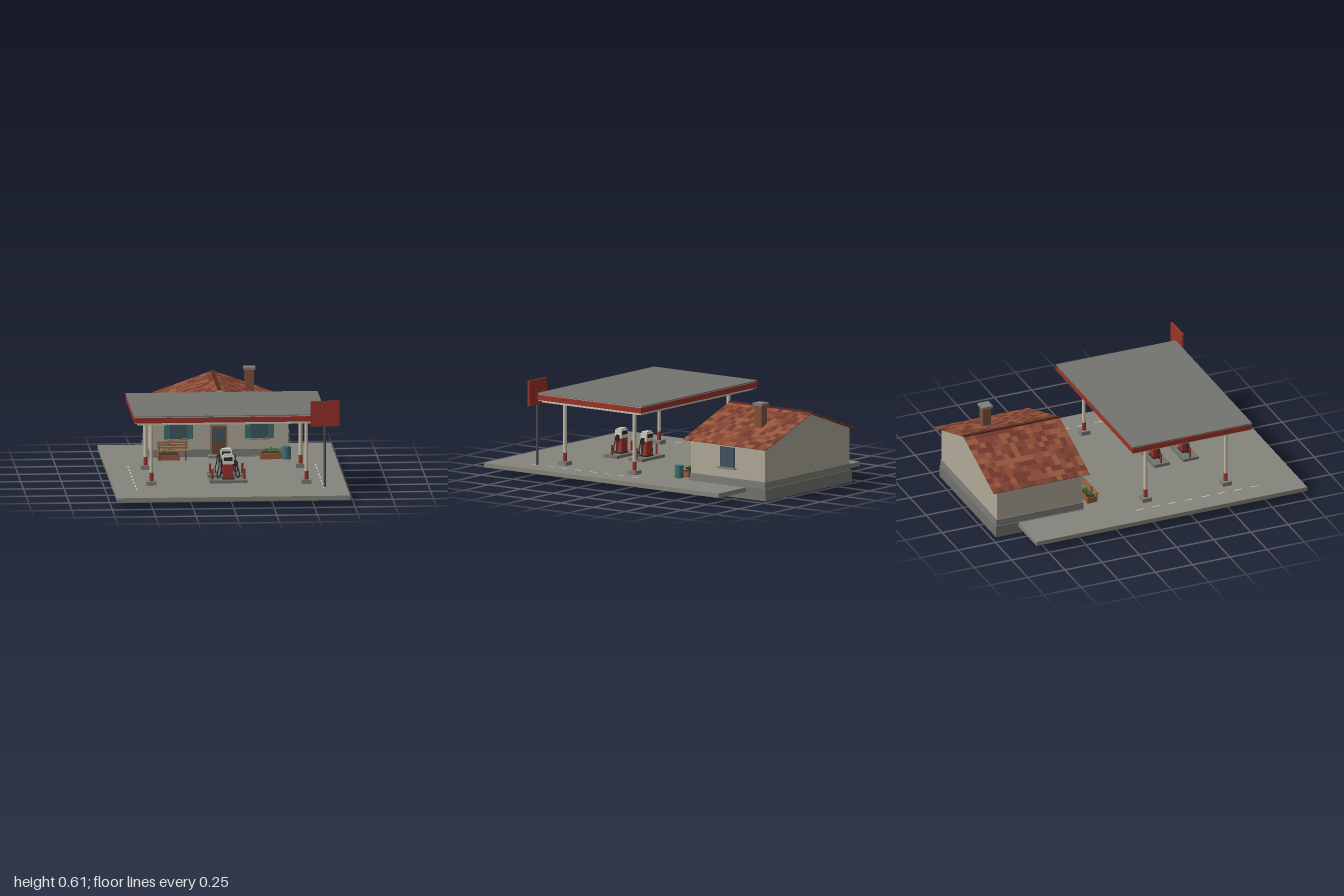
import * as THREE from 'three';
import { mergeGeometries } from 'three/addons/utils/BufferGeometryUtils.js';

const mat = (color, flatShading = false) => new THREE.MeshStandardMaterial({ color, flatShading });
const M = {
  paving: mat(0x85857c), concrete: mat(0x73736d), plinth: mat(0x7d7e78), wall: mat(0xb0a998), cream: mat(0xc4bda8),
  red: mat(0x9a3328), white: mat(0xd0cdc2), dark: mat(0x25282a), glass: mat(0x3d5763), teal: mat(0x3f6f70),
  wood: mat(0x94653f), planter: mat(0x955a36), soil: mat(0x3d2d22), leaf: mat(0x49653a, true),
  brick: mat(0x80503c), ridge: mat(0x54291f), pole: mat(0x4b4e50), door: mat(0x6d4a34), canopy: mat(0x747570),
};

function add(parent, name, geo, material, x = 0, y = 0, z = 0) {
  const m = new THREE.Mesh(geo, material);
  m.name = name;
  m.position.set(x, y, z);
  parent.add(m);
  return m;
}

// Box given by its limits on each axis
function box(parent, name, material, x0, x1, y0, y1, z0, z1) {
  const geo = new THREE.BoxGeometry(x1 - x0, y1 - y0, z1 - z0);
  return add(parent, name, geo, material, (x0 + x1) / 2, (y0 + y1) / 2, (z0 + z1) / 2);
}

// Upright cylinder standing on y0
function post(parent, name, material, x, z, r, y0, y1, sides = 16) {
  return add(parent, name, new THREE.CylinderGeometry(r, r, y1 - y0, sides), material, x, (y0 + y1) / 2, z);
}

function group(parent, name, x = 0, y = 0, z = 0) {
  const g = new THREE.Group();
  g.name = name;
  g.position.set(x, y, z);
  parent.add(g);
  return g;
}

function seeded(seed) {
  return () => (seed = (seed * 16807) % 2147483647) / 2147483647;
}

const GROUND = 0.072;

// Window in its own frame: facing +z, centred on x, bottom at y = 0
function windowUnit(parent, name, shutters) {
  const g = group(parent, name);
  box(g, 'windowFrame', M.pole, -0.052, 0.052, 0, 0.12, 0, 0.006);
  for (const s of [-1, 1]) {
    box(g, 'windowPane', M.glass, s * 0.025 - 0.021, s * 0.025 + 0.021, 0.006, 0.114, 0.004, 0.009);
    if (shutters) box(g, 'shutter', M.teal, s * 0.071 - 0.018, s * 0.071 + 0.018, -0.002, 0.122, 0, 0.012);
  }
  box(g, 'windowSill', M.plinth, -0.062, 0.062, -0.009, 0, 0, 0.022);
  return g;
}

// Two slopes of individually shaded tiles
function roof(parent) {
  const rnd = seeded(41);
  const shades = [0x7d4030, 0x8b4a34, 0x95573c, 0x6f382b];
  const tiles = shades.map(() => []);
  const rows = 12, cols = 18, z0 = -1, z1 = -0.355, width = 0.475, eave = 0.327, top = 0.497;
  const run = Math.hypot(width, top - eave), tilt = Math.atan2(top - eave, width);
  for (const side of [-1, 1]) {
    for (let i = 0; i < rows; i++) for (let j = 0; j < cols; j++) {
      const t = (i + 0.5) / rows;
      const geo = new THREE.BoxGeometry(run / rows, 0.004, (z1 - z0) / cols);
      geo.rotateZ(-side * tilt);
      geo.translate(side * width * t, top + (eave - top) * t, z0 + (z1 - z0) * (j + 0.5) / cols);
      tiles[Math.floor(rnd() * shades.length)].push(geo);
    }
  }
  tiles.forEach((t, i) => add(parent, 'roofTiles', mergeGeometries(t), mat(shades[i])));
  box(parent, 'ridgeCap', M.ridge, -0.01, 0.01, 0.493, 0.504, z0, z1);
}

function shop(parent) {
  const g = group(parent, 'shop');
  box(g, 'foundation', M.concrete, -0.44, 0.44, 0, 0.075, -0.97, -0.378);
  box(g, 'plinth', M.plinth, -0.435, 0.435, 0.075, 0.117, -0.964, -0.381);
  // Walls with both gables as one extruded outline
  const s = new THREE.Shape();
  s.moveTo(-0.43, 0.1);
  s.lineTo(0.43, 0.1);
  s.lineTo(0.43, 0.338);
  s.lineTo(0, 0.491);
  s.lineTo(-0.43, 0.338);
  add(g, 'walls', new THREE.ExtrudeGeometry(s, { depth: 0.575, bevelEnabled: false }), M.wall, 0, 0, -0.96);
  roof(g);
  box(g, 'chimney', M.brick, 0.186, 0.24, 0.38, 0.55, -0.788, -0.732);
  box(g, 'chimneyCap', M.plinth, 0.176, 0.25, 0.55, 0.565, -0.797, -0.723);
  // Front openings and sign board
  for (const x of [-0.25, 0.25]) windowUnit(g, 'frontWindow', true).position.set(x, 0.187, -0.386);
  const side = windowUnit(g, 'sideWindow', false);
  side.position.set(0.429, 0.182, -0.67);
  side.rotation.y = Math.PI / 2;
  side.scale.set(1.1, 1.05, 1);
  box(g, 'doorFrame', M.plinth, -0.054, 0.054, GROUND, 0.275, -0.386, -0.376);
  box(g, 'door', M.door, -0.042, 0.042, GROUND, 0.262, -0.38, -0.373);
  box(g, 'doorGlass', M.glass, -0.028, 0.028, 0.165, 0.248, -0.376, -0.371);
  box(g, 'doorStep', M.plinth, -0.068, 0.068, GROUND, 0.088, -0.38, -0.325);
  box(g, 'signBoard', M.red, -0.27, 0.265, 0.304, 0.348, -0.386, -0.368);
}

function canopy(parent) {
  const g = group(parent, 'canopy');
  box(g, 'canopyTop', M.canopy, -0.595, 0.592, 0.518, 0.525, -0.12, 0.683);
  box(g, 'upperTrim', M.white, -0.587, 0.584, 0.513, 0.518, -0.113, 0.676);
  box(g, 'fascia', M.red, -0.594, 0.591, 0.481, 0.514, -0.119, 0.682);
  box(g, 'lowerTrim', M.white, -0.59, 0.587, 0.476, 0.481, -0.115, 0.678);
  box(g, 'ceiling', M.cream, -0.573, 0.57, 0.465, 0.476, -0.1, 0.665);
  for (const x of [-0.25, 0.25]) box(g, 'ceilingLight', M.white, x - 0.057, x + 0.057, 0.456, 0.465, 0.272, 0.298);
  for (const x of [-0.48, 0.478]) for (const z of [0.017, 0.555]) {
    box(g, 'columnBase', M.plinth, x - 0.03, x + 0.03, GROUND, 0.097, z - 0.03, z + 0.03);
    post(g, 'columnFoot', M.red, x, z, 0.0125, 0.097, 0.15);
    post(g, 'column', M.cream, x, z, 0.0115, 0.15, 0.466);
  }
}

function pump(parent, z) {
  const g = group(parent, 'pumpIsland', 0, GROUND, z);
  box(g, 'island', M.concrete, -0.116, 0.116, 0, 0.018, -0.052, 0.052);
  box(g, 'pumpBase', M.dark, -0.036, 0.036, 0.018, 0.026, -0.025, 0.025);
  box(g, 'pumpBody', M.red, -0.031, 0.031, 0.026, 0.114, -0.022, 0.022);
  box(g, 'pumpHead', M.white, -0.035, 0.035, 0.114, 0.164, -0.024, 0.024);
  box(g, 'pumpCap', M.white, -0.027, 0.027, 0.164, 0.174, -0.02, 0.02);
  for (const s of [-1, 1]) {
    box(g, 'display', M.dark, -0.026, 0.026, 0.136, 0.158, s * 0.0245 - 0.0015, s * 0.0245 + 0.0015);
    box(g, 'nozzle', M.dark, s * 0.041 - 0.006, s * 0.041 + 0.006, 0.095, 0.135, -0.008, 0.01);
    // Hose hanging from the head and looping back to the nozzle
    const path = new THREE.CatmullRomCurve3([
      [0.034, 0.128, 0], [0.052, 0.132, 0.003], [0.059, 0.09, 0.008], [0.069, 0.045, 0.01],
      [0.062, 0.024, 0.008], [0.049, 0.04, 0.004], [0.042, 0.1, 0],
    ].map(([x, y, w]) => new THREE.Vector3(s * x, y, w)));
    add(g, 'hose', new THREE.TubeGeometry(path, 28, 0.0035, 8), M.dark);
    post(g, 'bollard', M.red, s * 0.099, 0, 0.007, 0.018, 0.08);
  }
}

// Wooden trough with soil and a clump of leaves
function planter(parent, x) {
  const g = group(parent, 'planter', x, GROUND, -0.3);
  box(g, 'trough', M.planter, -0.067, 0.067, 0, 0.037, -0.03, 0.03);
  box(g, 'soil', M.soil, -0.06, 0.06, 0.037, 0.039, -0.024, 0.024);
  const rnd = seeded(7);
  for (let i = 0; i < 14; i++) {
    const a = i * 2.4, r = 0.012 + rnd() * 0.028;
    const leaf = add(g, 'leaf', new THREE.IcosahedronGeometry(0.017, 0), M.leaf,
      Math.cos(a) * r, 0.044 + rnd() * 0.015, Math.sin(a) * r * 0.55);
    leaf.scale.set(1, 0.45, 0.6);
    leaf.rotation.set(rnd(), -a, 0.4);
  }
}

function bench(parent) {
  const g = group(parent, 'bench', -0.292, GROUND, -0.278);
  for (const z of [-0.012, 0.002, 0.016]) box(g, 'seatSlat', M.wood, -0.096, 0.096, 0.056, 0.062, z - 0.006, z + 0.006);
  for (const y of [0.075, 0.092, 0.108]) box(g, 'backSlat', M.wood, -0.096, 0.096, y - 0.005, y + 0.005, -0.024, -0.018);
  for (const x of [-0.08, 0.08]) {
    box(g, 'backPost', M.pole, x - 0.004, x + 0.004, 0, 0.112, -0.028, -0.023);
    box(g, 'frontLeg', M.pole, x - 0.004, x + 0.004, 0, 0.056, 0.012, 0.018);
    box(g, 'seatBar', M.pole, x - 0.004, x + 0.004, 0.05, 0.056, -0.024, 0.018);
  }
}

export function createModel() {
  const model = new THREE.Group();
  model.name = 'fuelStation';
  box(model, 'forecourt', M.paving, -0.72, 0.72, 0.045, GROUND, -0.82, 1);
  // Dashed lane lines
  for (const x of [-0.582, 0.576]) for (let i = 0; i < 8; i++) {
    box(model, 'laneDash', M.white, x - 0.004, x + 0.004, GROUND, GROUND + 0.001, 0.68 - i * 0.11, 0.73 - i * 0.11);
  }
  shop(model);
  canopy(model);
  for (const z of [0.48, 0.285]) pump(model, z);
  for (const x of [-0.316, 0.315]) planter(model, x);
  bench(model);
  // Water barrel with hoops
  post(model, 'barrel', M.teal, 0.41, -0.278, 0.027, GROUND, 0.15, 20);
  for (const y of [0.08, 0.11, 0.142]) post(model, 'barrelHoop', M.teal, 0.41, -0.278, 0.029, y, y + 0.006, 20);
  // Roadside price board
  post(model, 'signPole', M.pole, 0.583, 0.69, 0.007, GROUND, 0.46);
  box(model, 'priceBoard', M.red, 0.494, 0.672, 0.452, 0.61, 0.684, 0.697);
  return model;
}
